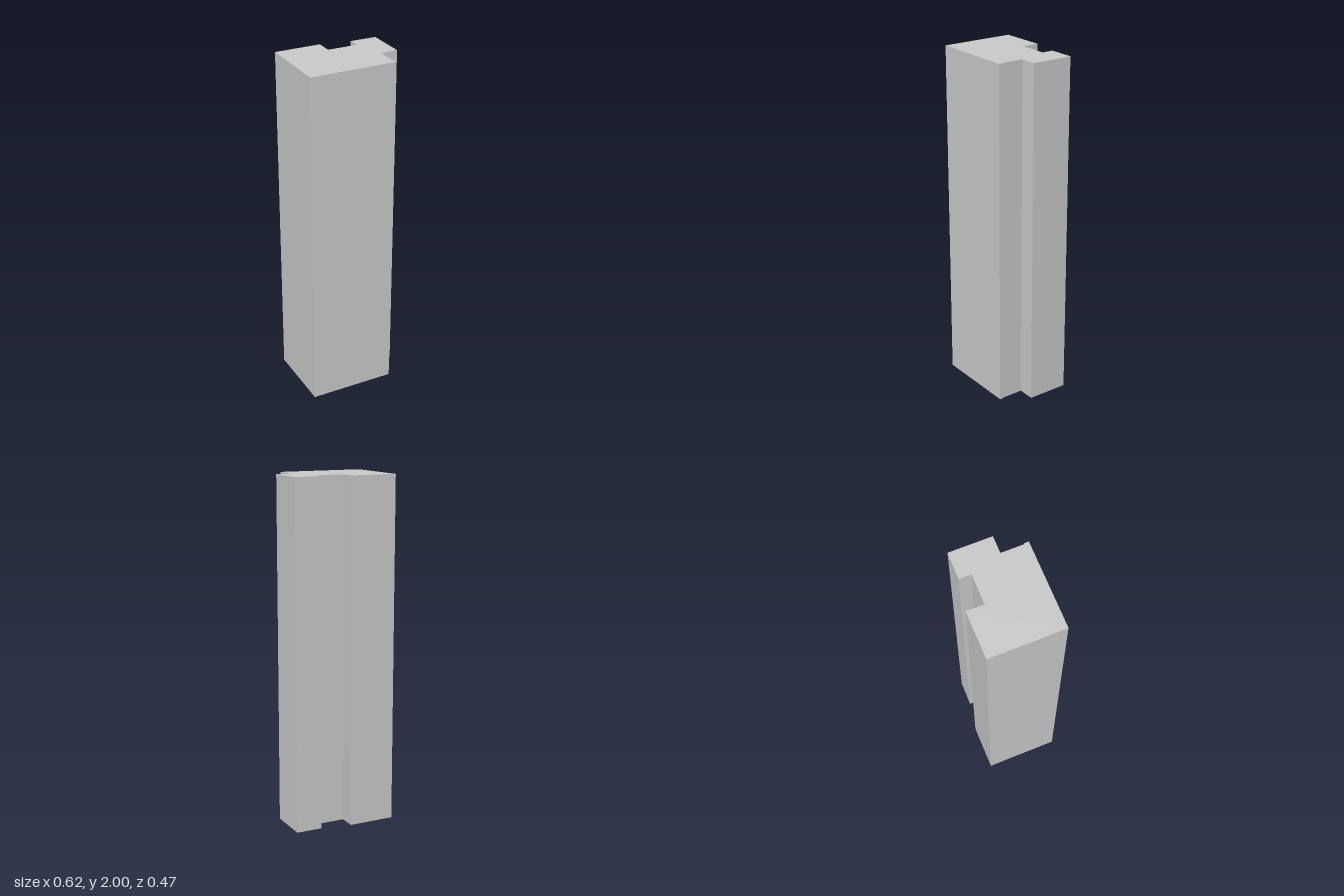
import * as THREE from 'three';

// Floor outline of the column as [x, z] corners
const OUTLINE = [
  [-0.312, 0.193], [0.186, 0.232], [0.188, 0.207], [0.183, 0.206], // front face and small lip
  [0.193, 0.077], [0.292, 0.085], [0.311, -0.157], [0.158, -0.17], // front notch and side wing
  [0.153, -0.102], [-0.02, -0.115], [-0.012, -0.214], [-0.28, -0.234], // back recess and back face
];
const HEIGHT = 2;

export function createModel() {
  const group = new THREE.Group();
  group.name = 'tower';

  // Straight prism: draw the outline flat, then stand it up along y
  const shape = new THREE.Shape(OUTLINE.map(([x, z]) => new THREE.Vector2(x, -z)));
  const geometry = new THREE.ExtrudeGeometry(shape, { depth: HEIGHT, bevelEnabled: false });
  geometry.rotateX(-Math.PI / 2);

  const material = new THREE.MeshStandardMaterial({ color: 0xcccccc, flatShading: true });
  const body = new THREE.Mesh(geometry, material);
  body.name = 'towerBody';
  group.add(body);
  return group;
}
